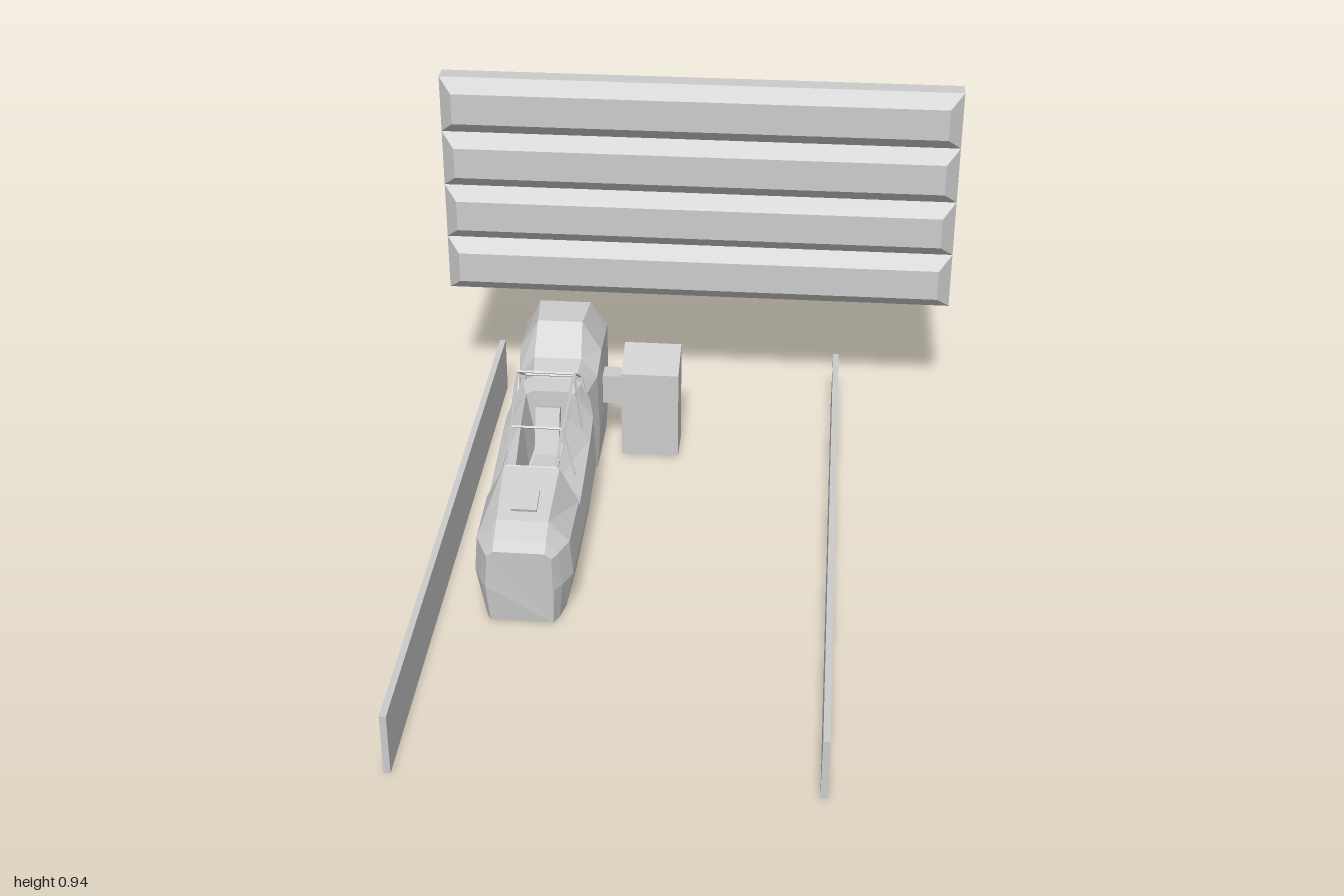
import * as THREE from 'three';

const mat = new THREE.MeshStandardMaterial({ color: 0xcccccc, flatShading: true });
const openMat = new THREE.MeshStandardMaterial({ color: 0xcccccc, flatShading: true, side: THREE.DoubleSide });

function add(parent, geo, name, material = mat) {
  const m = new THREE.Mesh(geo, material);
  m.name = name;
  parent.add(m);
  return m;
}

function box(parent, name, w, h, d, x, y, z) {
  const m = add(parent, new THREE.BoxGeometry(w, h, d), name);
  m.position.set(x, y, z);
  return m;
}

// Flat polygons (convex, counter-clockwise) gathered into one geometry
function polygons(list) {
  const pos = [];
  for (const f of list)
    for (let i = 1; i < f.length - 1; i++) pos.push(...f[0], ...f[i], ...f[i + 1]);
  const g = new THREE.BufferGeometry();
  g.setAttribute('position', new THREE.Float32BufferAttribute(pos, 3));
  g.computeVertexNormals();
  return g;
}

// Skin through equal-sized rings, capped at both ends, left open underneath
function loft(rings) {
  const n = rings[0].length, faces = [];
  for (let i = 0; i < rings.length - 1; i++)
    for (let j = 0; j < n - 1; j++)
      faces.push([rings[i][j], rings[i][j + 1], rings[i + 1][j + 1], rings[i + 1][j]]);
  faces.push([...rings[0]].reverse(), rings[rings.length - 1]);
  return polygons(faces);
}

// Symmetric hull section, with its foot tucked in slightly
function section([z, wb, w, ws, ys, wi, yt, wf, yf]) {
  const half = [[wb, 0, z * 0.97], [w, 0.1, z], [ws, ys, z], [wi, yt, z], [wf, yf, z]];
  return [...half, ...half.map(([x, y, d]) => [-x, y, d]).reverse()];
}

function strut(parent, a, b, r = 0.0035) {
  const p = new THREE.Vector3(...a), q = new THREE.Vector3(...b);
  const d = q.clone().sub(p);
  const m = add(parent, new THREE.CylinderGeometry(r, r, d.length(), 4), 'canopyStrut');
  m.position.copy(p).add(q).multiplyScalar(0.5);
  m.quaternion.setFromUnitVectors(new THREE.Vector3(0, 1, 0), d.normalize());
}

// Pressed panel: ribs raised in front and hollow behind
function ribbedPanel(x0, x1, y0, y1, zBack, zFront, depth, ribs) {
  const faces = [], h = (y1 - y0) / ribs;
  const rect = (b, t, i, z) => [[x0 + i, b + i, z], [x1 - i, b + i, z], [x1 - i, t - i, z], [x0 + i, t - i, z]];
  for (let r = 0; r < ribs; r++) {
    const b = y0 + r * h, t = b + h;
    for (const [z, flip] of [[zFront, false], [zBack, true]]) {
      const o = rect(b, t, 0, z), n = rect(b, t, depth, z + depth);
      const list = [n];
      for (let k = 0; k < 4; k++) list.push([o[k], o[(k + 1) % 4], n[(k + 1) % 4], n[k]]);
      faces.push(...list.map(f => (flip ? [...f].reverse() : f)));
    }
  }
  const B = rect(y0, y1, 0, zBack), F = rect(y0, y1, 0, zFront);
  for (let k = 0; k < 4; k++) faces.push([B[k], B[(k + 1) % 4], F[(k + 1) % 4], F[k]]);
  return polygons(faces);
}

export function createModel() {
  const root = new THREE.Group();
  root.name = 'hangarBay';
  const bay = new THREE.Group();
  bay.name = 'bay';
  bay.rotation.y = Math.PI / 4;
  root.add(bay);

  // Rear door and low side walls
  add(bay, ribbedPanel(-0.622, 0.708, 0.338, 0.937, -0.708, -0.66, 0.034, 4), 'ribbedDoor');
  for (const [name, x] of [['rightWall', -0.495], ['leftWall', 0.419]])
    box(bay, name, 0.015, 0.15, 1.62, x, 0.075, 0.098);

  // Side cabinet with a sloping top, joined by a short arm
  const side = (x) => [[x, 0, -0.495], [x, 0.28, -0.495], [x, 0.24, -0.394], [x, 0, -0.394]];
  add(bay, loft([side(-0.134), side(0.014)]), 'cabinet', openMat);
  box(bay, 'cabinetArm', 0.07, 0.08, 0.05, -0.16, 0.18, -0.44);

  // Vehicle: engine block, neck, open cockpit well and nose in one hull
  const car = new THREE.Group();
  car.name = 'vehicle';
  car.position.x = -0.29;
  bay.add(car);
  const stations = [
    [-0.592, 0.046, 0.05, 0.05, 0.295, 0.046, 0.31, 0.03, 0.315],
    [-0.54, 0.1, 0.105, 0.105, 0.305, 0.085, 0.34, 0.05, 0.36],
    [-0.51, 0.1, 0.105, 0.105, 0.305, 0.066, 0.385, 0.04, 0.385],
    [-0.4, 0.1, 0.105, 0.105, 0.305, 0.057, 0.385, 0.04, 0.385],
    [-0.34, 0.1, 0.105, 0.1, 0.26, 0.06, 0.31, 0.04, 0.31],
    [-0.262, 0.07, 0.08, 0.08, 0.25, 0.055, 0.29, 0.04, 0.29],
    [-0.235, 0.085, 0.1, 0.095, 0.25, 0.075, 0.305, 0.055, 0.31],
    [-0.18, 0.095, 0.114, 0.108, 0.235, 0.06, 0.298, 0.04, 0.305],
    [-0.175, 0.095, 0.114, 0.108, 0.235, 0.058, 0.297, 0.035, 0.16],
    [-0.1, 0.1, 0.116, 0.11, 0.22, 0.058, 0.276, 0.045, 0.14],
    [0.1, 0.1, 0.116, 0.11, 0.18, 0.05, 0.22, 0.03, 0.13],
    [0.13, 0.1, 0.116, 0.11, 0.175, 0.06, 0.22, 0.02, 0.22],
    [0.14, 0.1, 0.116, 0.11, 0.195, 0.066, 0.285, 0.05, 0.287],
    [0.3, 0.095, 0.115, 0.108, 0.19, 0.06, 0.24, 0.045, 0.24],
    [0.345, 0.085, 0.095, 0.088, 0.188, 0.06, 0.215, 0.045, 0.215],
    [0.369, 0.074, 0.08, 0.075, 0.185, 0.06, 0.198, 0.045, 0.198],
  ];
  add(car, loft(stations.map(section)), 'hull', openMat);
  box(car, 'noseHatch', 0.06, 0.012, 0.06, 0, 0.258, 0.245).rotation.x = 0.29;

  // Reclined seat inside the well
  box(car, 'seatBase', 0.06, 0.03, 0.14, 0, 0.155, -0.04);
  box(car, 'seatBack', 0.06, 0.13, 0.025, 0, 0.215, -0.13).rotation.x = -0.4;

  // Canopy frame without panes
  const canopy = new THREE.Group();
  canopy.name = 'canopyFrame';
  car.add(canopy);
  const line = [[0.07, 0.32, -0.235], [0.07, 0.387, -0.13], [0.06, 0.333, 0.04], [0.06, 0.285, 0.14]];
  const foot = [[0.1, 0.16, -0.225], [0.09, 0.245, -0.11], [0.09, 0.21, 0.05]];
  for (const s of [1, -1]) {
    const f = ([x, y, z]) => [s * x, y, z];
    for (let i = 0; i < 3; i++) {
      strut(canopy, f(line[i]), f(line[i + 1]));
      strut(canopy, f(line[i]), f(foot[i]), i === 0 ? 0.008 : 0.0035);
    }
  }
  for (const [x, y, z] of line) strut(canopy, [-x, y, z], [x, y, z]);

  return root;
}
